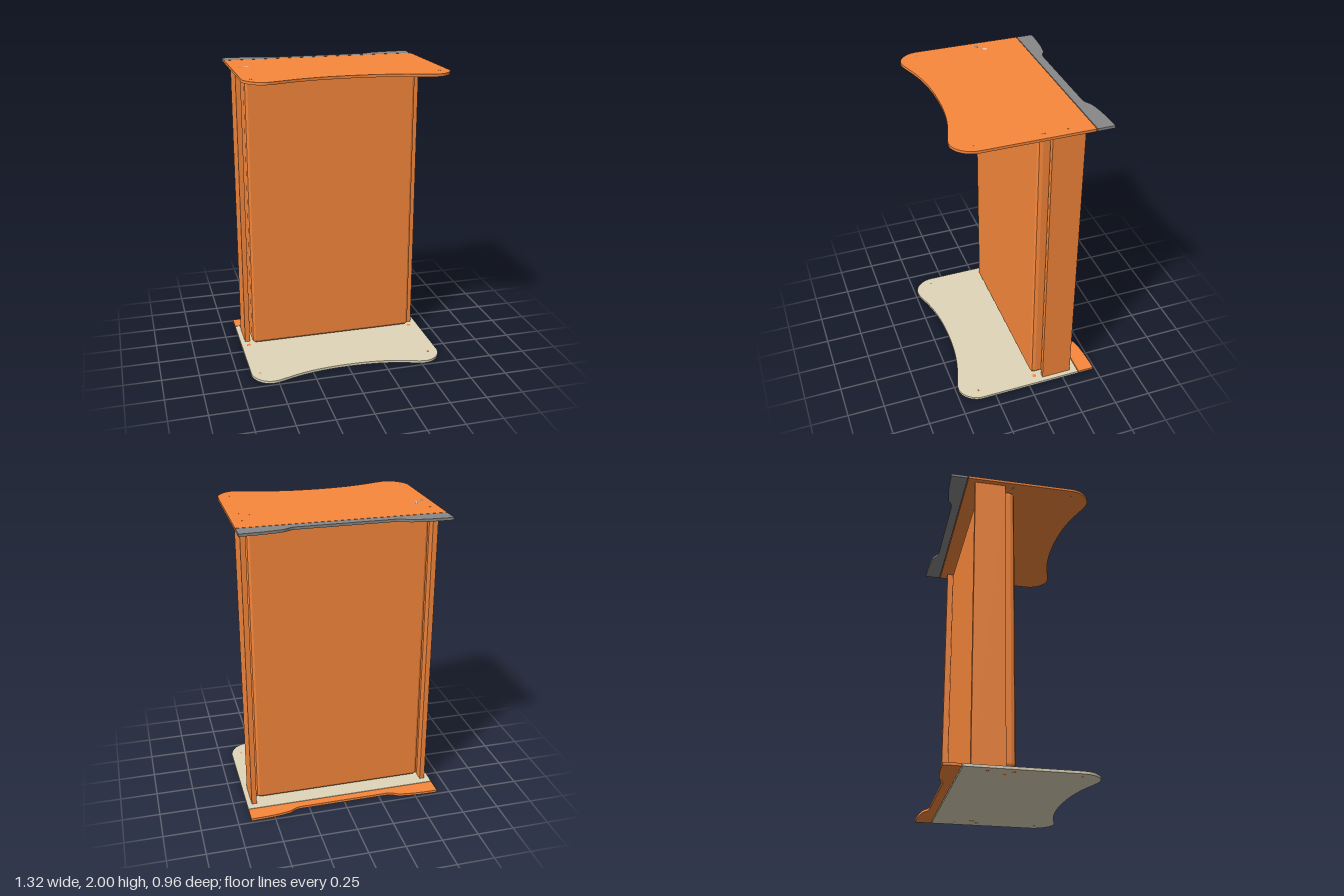
import * as THREE from 'three';

const material = (color) => new THREE.MeshStandardMaterial({ color });
const orange = material(0xf8883c);
const grey = material(0x888888);
const beige = material(0xdfd6ba);
const pale = material(0xf0d0d8);

const W = 0.662; // half width of the plates
const T = 0.017; // plate thickness

function add(parent, name, geometry, mat, x = 0, y = 0, z = 0) {
  const mesh = new THREE.Mesh(geometry, mat);
  mesh.name = name;
  mesh.position.set(x, y, z);
  parent.add(mesh);
  return mesh;
}

// Lays an outline drawn in (x, z) flat, with its top at y = 0
function slab(shape) {
  return new THREE.ExtrudeGeometry(shape, { depth: T, bevelEnabled: false, curveSegments: 20 })
    .rotateX(Math.PI / 2);
}

// Plate with two rounded lobes and a hollow front edge
function plateShape() {
  const s = new THREE.Shape();
  s.moveTo(-W, -0.367);
  s.lineTo(W, -0.367);
  s.lineTo(W, 0.34);
  s.bezierCurveTo(W, 0.415, 0.6, 0.481, 0.535, 0.481);
  s.bezierCurveTo(0.45, 0.481, 0.35, 0.391, 0, 0.391);
  s.bezierCurveTo(-0.35, 0.391, -0.45, 0.481, -0.535, 0.481);
  s.bezierCurveTo(-0.6, 0.481, -W, 0.415, -W, 0.34);
  s.closePath();
  return s;
}

// Narrow rear strip, wider at both ends
function stripShape() {
  const s = new THREE.Shape();
  s.moveTo(W, -0.372);
  s.lineTo(-W, -0.372);
  s.lineTo(-W, -0.483);
  s.bezierCurveTo(-0.55, -0.483, -0.44, -0.474, -0.39, -0.46);
  s.bezierCurveTo(-0.36, -0.451, -0.355, -0.429, -0.3, -0.429);
  s.lineTo(0.3, -0.429);
  s.bezierCurveTo(0.355, -0.429, 0.36, -0.451, 0.39, -0.46);
  s.bezierCurveTo(0.44, -0.474, 0.55, -0.483, W, -0.483);
  s.closePath();
  return s;
}

// Thick panel with rounded corners and softened front and back edges
function panelGeometry() {
  const bevel = 0.022, w = 0.586 - bevel, h = 0.972 - bevel, r = 0.012;
  const s = new THREE.Shape();
  s.moveTo(-w + r, -h);
  s.lineTo(w - r, -h);
  s.absarc(w - r, -h + r, r, -Math.PI / 2, 0);
  s.absarc(w - r, h - r, r, 0, Math.PI / 2);
  s.absarc(-w + r, h - r, r, Math.PI / 2, Math.PI);
  s.absarc(-w + r, -h + r, r, Math.PI, Math.PI * 1.5);
  return new THREE.ExtrudeGeometry(s, {
    depth: 0.178, bevelThickness: 0.03, bevelSize: bevel, bevelSegments: 2, curveSegments: 6,
  });
}

export function createModel() {
  const model = new THREE.Group();
  model.name = 'lectern';

  // Body: panel and its rim held between two side posts
  add(model, 'panel', panelGeometry(), orange, 0, 1.003, -0.248);
  add(model, 'panelRim', new THREE.BoxGeometry(1.19, 1.94, 0.02), orange, 0, 1.003, -0.24);
  for (const side of [-1, 1]) {
    add(model, 'sidePost', new THREE.BoxGeometry(0.034, 1.97, 0.206), orange,
      side * 0.612, 1, -0.213);
  }

  // Matching plates and rear strips at the top and bottom
  const plate = slab(plateShape());
  const strip = slab(stripShape());
  add(model, 'topPlate', plate, orange, 0, 1.9995);
  add(model, 'topStrip', strip, grey, 0, 1.9995);
  add(model, 'basePlate', plate, beige, 0, T + 0.0005);
  add(model, 'baseStrip', strip, orange, 0, T + 0.0005);

  // Nearly flush fasteners through both plates: x, z, radius, right-hand colour
  const fasteners = [
    [0.603, -0.06, 0.014, grey],
    [0.55, -0.103, 0.014, pale],
    [0.6, -0.215, 0.012, orange],
    [0.598, 0.355, 0.008, grey],
  ];
  for (const [x, z, r, mat] of fasteners) {
    const disc = new THREE.CylinderGeometry(r, r, T + 0.001, 16);
    for (const side of [-1, 1]) {
      const px = side * x - 0.006;
      add(model, 'topFastener', disc, side < 0 ? mat : orange, px, 1.9995 - T / 2, z);
      add(model, 'baseFastener', disc, orange, px, T / 2 + 0.0005, z);
    }
  }
  return model;
}
